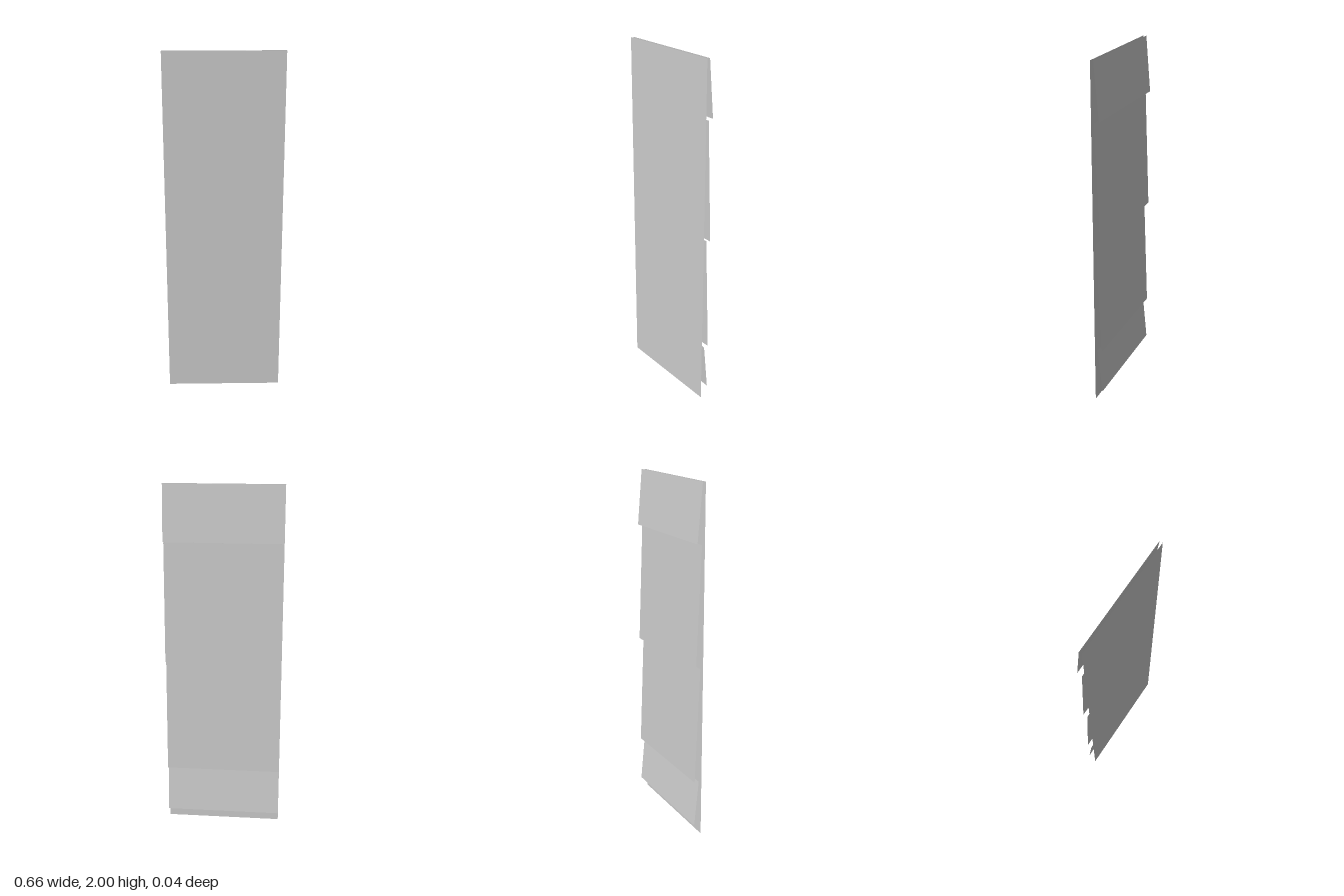
import * as THREE from 'three';

const WIDTH = 0.66;
const material = new THREE.MeshStandardMaterial({ color: 0xcccccc, side: THREE.DoubleSide, flatShading: true });

// Thin sheet across the full width, from (yTop, zTop) down to (yBottom, zBottom)
function sheet(name, yTop, zTop, yBottom, zBottom) {
  const dy = yTop - yBottom, dz = zTop - zBottom;
  const mesh = new THREE.Mesh(new THREE.PlaneGeometry(WIDTH, Math.hypot(dy, dz)), material);
  mesh.name = name;
  mesh.position.set(0, (yTop + yBottom) / 2, (zTop + zBottom) / 2);
  mesh.rotation.x = Math.atan2(dz, dy);
  return mesh;
}

export function createModel() {
  const group = new THREE.Group();
  group.name = 'claddingPanel';

  // Flat front face
  group.add(sheet('frontPanel', 2, 0.022, 0, 0.022));

  // Slanted boards on the back, each leaning out at its lower edge
  const boards = [[2, 1.69], [1.685, 1.005], [1.015, 0.34], [0.34, 0.065]];
  boards.forEach(([top, bottom], i) => {
    group.add(sheet(`backBoard${i + 1}`, top, 0.005, bottom, -0.022));
  });
  return group;
}
